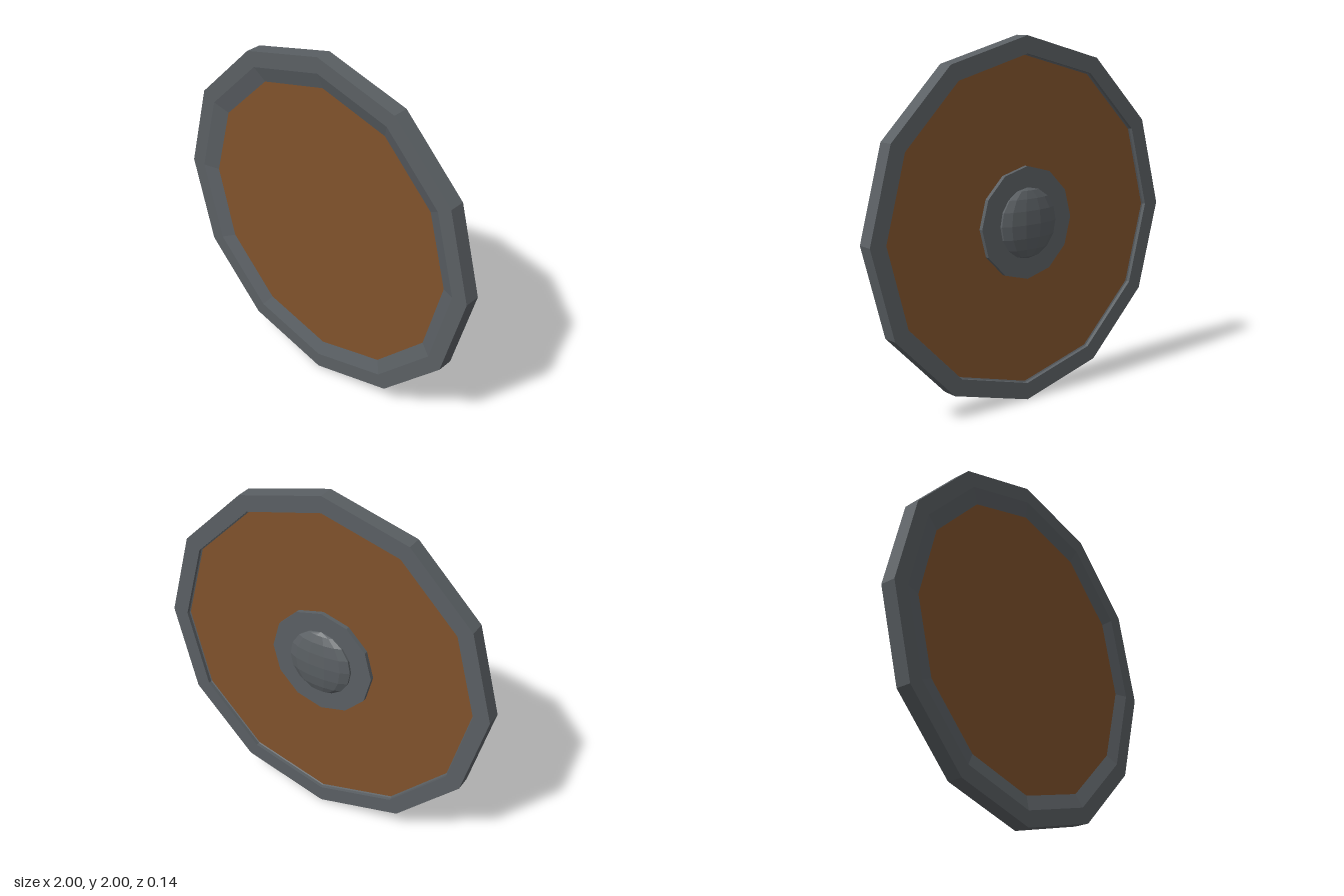
import * as THREE from 'three';

const SIDES = 12;
const metal = new THREE.MeshStandardMaterial({ color: 0x5a5f63, flatShading: true });
const wood = new THREE.MeshStandardMaterial({ color: 0x80522c, flatShading: true });

// Revolve [radius, z] pairs around the z axis
function revolve(profile) {
  const points = profile.map(([r, z]) => new THREE.Vector2(r, z));
  return new THREE.LatheGeometry(points, SIDES).rotateX(Math.PI / 2);
}

export function createModel() {
  const shield = new THREE.Group();
  shield.name = 'roundShield';

  function add(name, geometry, material) {
    const mesh = new THREE.Mesh(geometry, material);
    mesh.name = name;
    mesh.position.y = 1;
    shield.add(mesh);
    return mesh;
  }

  // Metal rim with a shallow inward bevel on the front
  const rim = revolve([
    [0.905, -0.02], [1, -0.02], [1, 0.07], [0.91, 0.07],
    [0.825, 0.045], [0.905, 0.0], [0.905, -0.02],
  ]);
  // The inner lip sits slightly off centre
  const pos = rim.attributes.position;
  for (let i = 0; i < pos.count; i++) {
    if (Math.hypot(pos.getX(i), pos.getY(i)) < 0.85) pos.setX(i, pos.getX(i) + 0.013);
  }
  add('rim', rim, metal);

  // Wooden board held inside the rim
  add('board', revolve([[0, 0.004], [0.905, 0.004], [0.905, 0.045], [0, 0.045]]), wood);

  // Flat plate around the boss
  add('bossPlate', revolve([[0, -0.02], [0.31, -0.02], [0.31, 0.01]]), metal);

  // Flattened dome boss
  const dome = new THREE.SphereGeometry(0.195, SIDES, 8);
  dome.rotateY(Math.PI / SIDES).scale(1, 1, 0.265);
  add('boss', dome, metal).position.z = -0.02;

  return shield;
}
